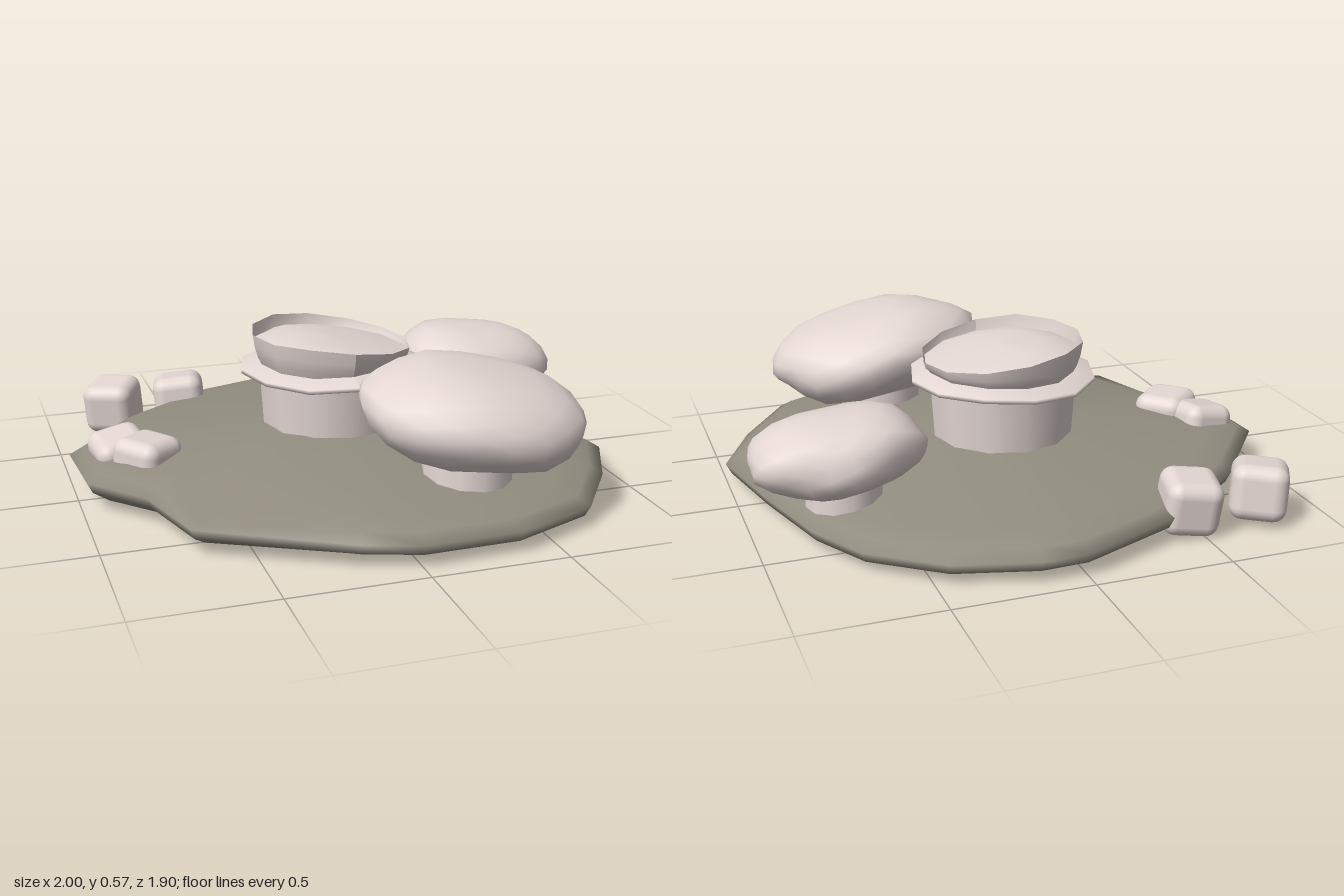
import * as THREE from 'three';
import { mergeVertices } from 'three/addons/utils/BufferGeometryUtils.js';
import { RoundedBoxGeometry } from 'three/addons/geometries/RoundedBoxGeometry.js';

const earth = new THREE.MeshStandardMaterial({ color: 0x938e81, name: 'earth' });
const pale = new THREE.MeshStandardMaterial({ color: 0xe4d7d3, name: 'pale', side: THREE.DoubleSide });

function part(parent, name, geometry, material, x = 0, y = 0, z = 0) {
  const mesh = new THREE.Mesh(geometry, material);
  mesh.name = name;
  mesh.position.set(x, y, z);
  parent.add(mesh);
  return mesh;
}

// Irregular ground outline (x, z), from the back round to the left
const OUTLINE = [
  [0, -0.95], [0.17, -0.95], [0.46, -0.86], [0.7, -0.67], [0.82, -0.45], [0.92, -0.1],
  [1, 0.25], [0.87, 0.52], [0.68, 0.79], [0.36, 0.93], [0, 0.95], [-0.2, 0.89],
  [-0.71, 0.62], [-0.8, 0.31], [-0.98, 0.11], [-1, -0.2], [-0.74, -0.53], [-0.37, -0.81],
];
const LOW_CORNER = 12;

// Loops of the outline from the middle of the top downwards, each scaled and set at a height
function loops(rings) {
  const n = OUTLINE.length, pos = [], idx = [];
  rings.forEach(([s, y]) => OUTLINE.forEach(([x, z], i) => {
    const tilt = y > 0.04 ? 0.02 * x * s : 0;
    const dip = i === LOW_CORNER && s > 0.8 && y > 0.1 ? 0.03 : 0;
    pos.push(x * s, y - tilt - dip, z * s);
  }));
  for (let r = 0; r < rings.length - 1; r++) {
    for (let i = 0; i < n; i++) {
      const a = r * n + i, b = r * n + (i + 1) % n;
      idx.push(a, b, a + n, b, b + n, a + n);
    }
  }
  const g = new THREE.BufferGeometry();
  g.setAttribute('position', new THREE.Float32BufferAttribute(pos, 3));
  g.setIndex(idx);
  g.computeVertexNormals();
  return g;
}

// Lumpy, full-sided ellipsoid with a flatter underside
function capGeometry(rx, ry, rz, phase) {
  let g = new THREE.IcosahedronGeometry(1, 3);
  g.deleteAttribute('normal');
  g.deleteAttribute('uv');
  g = mergeVertices(g, 1e-4);
  const p = g.attributes.position, e = 2.25;
  for (let i = 0; i < p.count; i++) {
    const x = p.getX(i), y = p.getY(i), z = p.getZ(i);
    const full = (Math.abs(x) ** e + Math.abs(y) ** e + Math.abs(z) ** e) ** (-1 / e);
    const k = full * (0.985 + 0.025 * Math.sin(6 * x + 3 * y + phase) + 0.025 * Math.sin(7 * z + 4 * y + phase * 2));
    p.setXYZ(i, x * k * rx, Math.max(y * k, -0.93) * ry, z * k * rz);
  }
  g.computeVertexNormals();
  return g;
}

function mushroom(name, cap, size, tilt, stem, stemR, phase) {
  const g = new THREE.Group();
  g.name = name;
  part(g, 'cap', capGeometry(...size, phase), pale, ...cap).rotation.set(0.08, 0, tilt);
  part(g, 'stem', new THREE.CylinderGeometry(stemR * 0.95, stemR, 0.2, 12), pale, ...stem);
  return g;
}

// Twelve-sided turned shape, with heights moved by a rule
function lathe(points, rule) {
  const g = new THREE.LatheGeometry(points.map(([r, y]) => new THREE.Vector2(r, y)), 12);
  const p = g.attributes.position;
  for (let i = 0; i < p.count; i++) p.setY(i, rule(p.getX(i), p.getY(i)));
  g.computeVertexNormals();
  return g;
}

export function createModel() {
  const model = new THREE.Group();
  model.name = 'mushroomIsland';

  // Ground mound and its flat underside
  part(model, 'groundMound', loops([
    [0, 0.215], [0.25, 0.21], [0.55, 0.175], [0.85, 0.14],
    [0.95, 0.12], [1, 0.09], [0.98, 0.05], [0.92, 0.03],
  ]), earth);
  part(model, 'groundUnderside', loops([[0.92, 0.03], [0, 0.03]]), earth);

  // Cut-off central mushroom: stem, collar, sloping rim wall and domed filling
  const stump = new THREE.Group();
  stump.name = 'hollowStump';
  stump.position.set(-0.01, 0, -0.05);
  model.add(stump);
  part(stump, 'stem', new THREE.CylinderGeometry(0.28, 0.265, 0.24, 12), pale, 0, 0.3, 0);
  part(stump, 'collar', lathe([[0.27, 0.4], [0.35, 0.415], [0.35, 0.43], [0.27, 0.45]],
    (x, y) => y + 0.008 * Math.sin(9 * x)), pale);
  const slope = (x, y) => y - Math.max(0, x + 0.12) * 0.15 * THREE.MathUtils.smoothstep(y, 0.44, 0.56);
  part(stump, 'rimWall', lathe([[0.265, 0.43], [0.285, 0.47], [0.297, 0.51], [0.305, 0.56]], slope), pale);
  part(stump, 'domedFilling', lathe([[0.297, 0.51], [0.24, 0.53], [0.15, 0.545], [0, 0.55]], slope), pale);

  // Two whole mushrooms
  model.add(mushroom('frontMushroom', [0.335, 0.382, 0.53], [0.415, 0.172, 0.365], -0.16,
    [0.31, 0.22, 0.54], 0.165, 0.6));
  model.add(mushroom('sideMushroom', [0.69, 0.305, -0.315], [0.31, 0.145, 0.265], -0.09,
    [0.67, 0.2, -0.31], 0.14, 2.1));

  // Rounded stones: x, y, z, then tilt, turn and roll
  [
    [-0.745, 0.12, -0.725, 0.12, -0.5, 0.1],
    [-0.465, 0.115, -0.73, -0.1, -0.22, 0.08],
    [-0.82, 0.115, -0.1, 0.1, 0.15, 0.15],
    [-0.745, 0.13, 0.03, 0.05, 0.7, -0.08],
  ].forEach(([x, y, z, a, b, c], i) => {
    part(model, 'stone' + (i + 1), new RoundedBoxGeometry(0.205, 0.205, 0.205, 3, 0.05), pale, x, y, z)
      .rotation.set(a, b, c);
  });

  return model;
}
